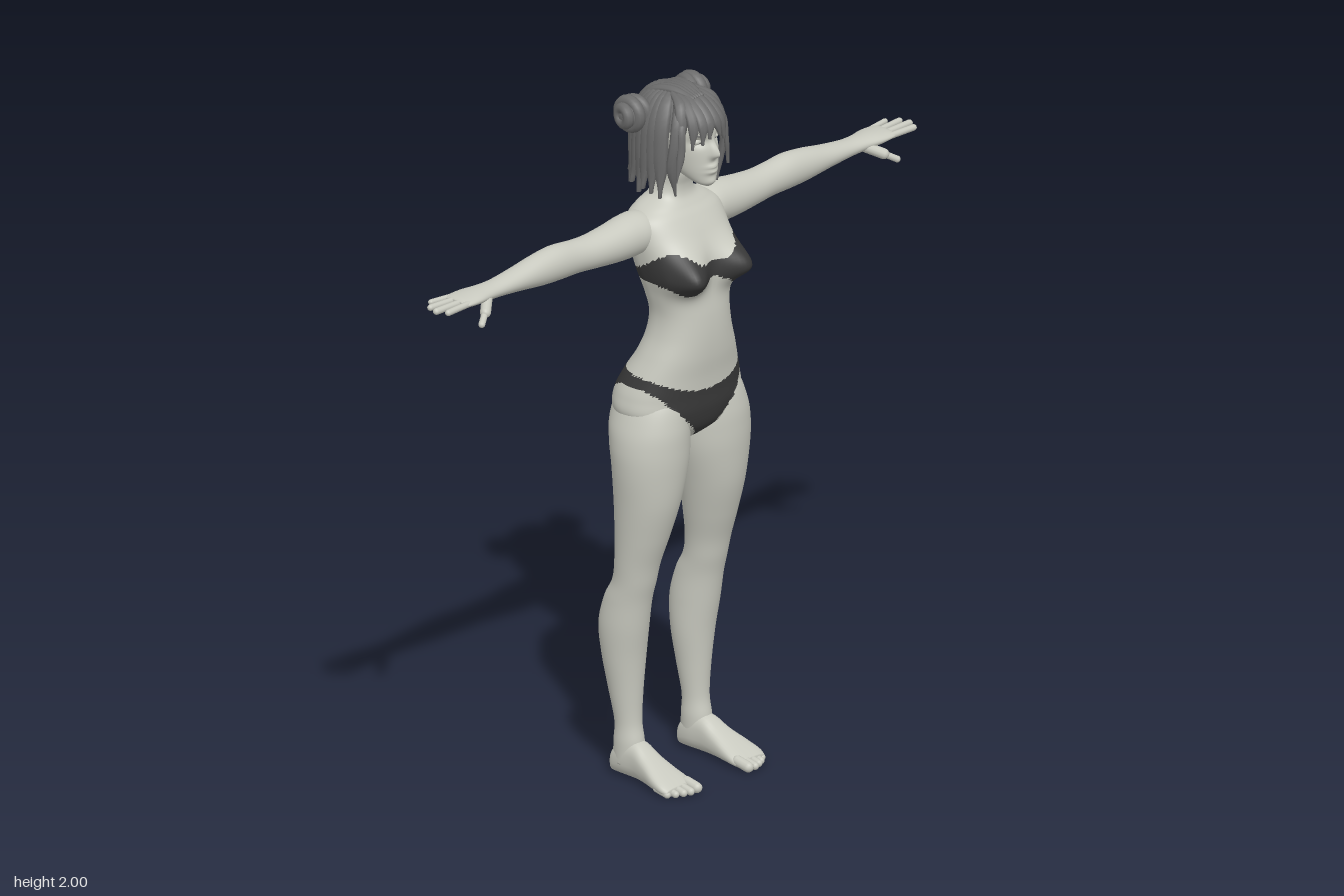
import * as THREE from 'three';

const skin = new THREE.MeshStandardMaterial({ color: 0xc8c9bf });
skin.name = 'skin';
const fabric = new THREE.MeshStandardMaterial({ color: 0x383838 });
fabric.name = 'dark fabric';
const hair = new THREE.MeshStandardMaterial({ color: 0x6c6c6c });
hair.name = 'hair grey';

const V = (x, y, z) => new THREE.Vector3(x, y, z);
const gauss = (d, s) => Math.exp(-(d * d) / (s * s));
const smooth = THREE.MathUtils.smoothstep;
const lerp = THREE.MathUtils.lerp;
const pow = (c, e) => Math.sign(c) * Math.abs(c) ** e;

// Smooth interpolation through rows of numbers, u in 0..1
function sample(rows, u) {
  const f = u * (rows.length - 1), i = Math.min(Math.floor(f), rows.length - 2), t = f - i;
  const a = rows[Math.max(i - 1, 0)], b = rows[i], c = rows[i + 1], d = rows[Math.min(i + 2, rows.length - 1)];
  return b.map((_, k) => 0.5 * (2 * b[k] + (c[k] - a[k]) * t + (2 * a[k] - 5 * b[k] + 4 * c[k] - d[k]) * t * t
    + (3 * b[k] - a[k] - 3 * c[k] + d[k]) * t * t * t));
}

// Closed skin over rings; ring(u, cos, sin) gives a point, paint(point) marks fabric faces
function loft(steps, n, ring, paint) {
  const pts = [], tris = [];
  for (let i = 0; i <= steps; i++) for (let j = 0; j < n; j++) {
    const a = (j / n) * Math.PI * 2;
    pts.push(ring(i / steps, Math.cos(a), Math.sin(a)));
  }
  for (let i = 0; i < steps; i++) for (let j = 0; j < n; j++) {
    const a = i * n + j, b = i * n + (j + 1) % n;
    tris.push([a, b, a + n], [b, b + n, a + n]);
  }
  for (const row of [0, steps]) {
    const mid = V(0, 0, 0);
    for (let j = 0; j < n; j++) mid.addScaledVector(pts[row * n + j], 1 / n);
    const m = pts.push(mid) - 1;
    for (let j = 0; j < n; j++) {
      const a = row * n + j, b = row * n + (j + 1) % n;
      tris.push(row ? [a, b, m] : [b, a, m]);
    }
  }
  // Turn the faces outward whatever the direction of the rings
  let volume = 0;
  for (const [a, b, c] of tris) volume += pts[a].dot(V(0, 0, 0).crossVectors(pts[b], pts[c]));
  const lists = [[], []];
  for (const [a, b, c] of tris) {
    const centre = V(0, 0, 0).add(pts[a]).add(pts[b]).add(pts[c]).divideScalar(3);
    lists[paint && paint(centre) ? 1 : 0].push(...(volume < 0 ? [a, c, b] : [a, b, c]));
  }
  const g = new THREE.BufferGeometry().setFromPoints(pts);
  g.setIndex(lists.flat());
  if (paint) {
    g.addGroup(0, lists[0].length, 0);
    g.addGroup(lists[0].length, lists[1].length, 1);
  }
  g.computeVertexNormals();
  return g;
}

// Swimwear outline on the body
function isFabric({ x, y, z }) {
  const ax = Math.abs(x), front = smooth(z, -0.06, 0.09);
  const topUp = lerp(1.493, 1.515 + 0.045 * smooth(ax, 0.03, 0.13), front);
  const topLow = lerp(1.462, 1.474 - 0.042 * gauss(ax - 0.085, 0.05), front);
  if (y > topLow && y < topUp) return true;
  const side = Math.min(ax / 0.18, 1), f = smooth(z, -0.06, 0.04);
  const briefUp = lerp(1.195, 1.143 + 0.052 * side * side, f);
  const briefLow = lerp(0.985 + 0.18 * side ** 1.3, 0.985 + 0.178 * side, f);
  return y > briefLow && y < briefUp;
}

// Bust, buttocks and spine as soft swells on the body
function swell(p, toFront) {
  const ax = Math.abs(p.x), y = p.y;
  if (toFront > 0) {
    const b = gauss(ax - 0.08, 0.055) * gauss(y - 1.485, y < 1.485 ? 0.045 : 0.06) * Math.min(1, toFront * 2.5);
    p.z += 0.073 * b;
    p.x += Math.sign(p.x) * 0.02 * b;
  } else {
    const w = Math.min(1, -toFront * 2);
    p.z -= 0.024 * w * gauss(ax - 0.09, 0.06) * gauss(y - 1.07, 0.055);
    p.z += 0.01 * w * gauss(p.x, 0.025) * (smooth(y, 1.15, 1.3) - smooth(y, 1.5, 1.62));
    p.z += 0.02 * w * gauss(p.x, 0.015) * gauss(y - 1.06, 0.06);
  }
  return p;
}

// Body rows: height, centre x, half width, front z, back z
const torsoRows = [
  [0.975, 0, 0.012, 0.02, -0.04], [1, 0, 0.07, 0.055, -0.1], [1.03, 0, 0.15, 0.084, -0.13], [1.08, 0, 0.2, 0.098, -0.146],
  [1.13, 0, 0.197, 0.1, -0.148], [1.18, 0, 0.178, 0.104, -0.13], [1.24, 0, 0.15, 0.112, -0.096], [1.3, 0, 0.126, 0.115, -0.076],
  [1.36, 0, 0.117, 0.113, -0.07], [1.42, 0, 0.127, 0.106, -0.082], [1.48, 0, 0.142, 0.1, -0.102], [1.54, 0, 0.151, 0.092, -0.12],
  [1.59, 0, 0.155, 0.07, -0.128], [1.63, 0, 0.148, 0.045, -0.126], [1.655, 0, 0.115, 0.025, -0.116],
  [1.68, 0, 0.07, 0.01, -0.1], [1.71, 0, 0.053, 0.008, -0.088], [1.75, 0, 0.05, 0.018, -0.084], [1.81, 0, 0.05, 0.02, -0.084]];
const legRows = [
  [0.04, 0.132, 0.037, -0.03, -0.126], [0.1, 0.131, 0.039, -0.032, -0.123], [0.16, 0.131, 0.037, -0.042, -0.12],
  [0.25, 0.132, 0.047, -0.04, -0.138], [0.35, 0.134, 0.06, -0.032, -0.156], [0.44, 0.138, 0.065, -0.018, -0.163],
  [0.52, 0.139, 0.062, -0.005, -0.143], [0.58, 0.138, 0.06, 0.01, -0.112], [0.64, 0.137, 0.064, 0.024, -0.103],
  [0.72, 0.132, 0.075, 0.05, -0.103], [0.82, 0.126, 0.09, 0.078, -0.107], [0.92, 0.12, 0.106, 0.092, -0.113],
  [0.99, 0.117, 0.11, 0.096, -0.124], [1.05, 0.112, 0.104, 0.094, -0.13], [1.12, 0.1, 0.085, 0.08, -0.11], [1.16, 0.09, 0.05, 0.05, -0.07]];
const headRows = [
  [1.732, 0, 0.012, 0.098, 0.07], [1.745, 0, 0.033, 0.106, 0.04], [1.775, 0, 0.053, 0.11, -0.03], [1.82, 0, 0.067, 0.11, -0.09],
  [1.86, 0, 0.074, 0.107, -0.12], [1.9, 0, 0.077, 0.11, -0.132], [1.94, 0, 0.07, 0.095, -0.125], [1.972, 0, 0.045, 0.055, -0.09], [1.982, 0, 0.015, 0, -0.05]];
const bodyRing = (rows, side, e, change) => (u, c, s) => {
  const [y, cx, rx, f, b] = sample(rows, u);
  return change(V(side * (cx + rx * pow(c, e)), y, (f + b) / 2 + (f - b) / 2 * pow(s, e)), s);
};

// Nose, lips, eye sockets and eyelids
function faceShape(p, s) {
  if (s <= 0) return p;
  const ax = Math.abs(p.x), y = p.y;
  p.z += 0.028 * gauss(p.x, 0.012) * gauss(y - 1.83, y < 1.83 ? 0.014 : 0.03);
  p.z += 0.009 * gauss(p.x, 0.02) * (gauss(y - 1.792, 0.006) + gauss(y - 1.777, 0.007));
  p.z += 0.006 * gauss(p.x, 0.02) * gauss(y - 1.745, 0.012);
  p.z -= 0.013 * gauss(ax - 0.034, 0.018) * gauss(y - 1.865, 0.014);
  return p;
}

// Arm rows: x, centre y, centre z, half height, half depth
const armRows = [
  [0.08, 1.6, -0.05, 0.04, 0.05], [0.13, 1.597, -0.048, 0.057, 0.062], [0.18, 1.595, -0.047, 0.06, 0.06], [0.24, 1.592, -0.046, 0.055, 0.055],
  [0.32, 1.591, -0.048, 0.048, 0.048], [0.38, 1.594, -0.05, 0.047, 0.044], [0.45, 1.598, -0.05, 0.05, 0.044], [0.52, 1.597, -0.05, 0.045, 0.042],
  [0.6, 1.595, -0.05, 0.033, 0.038], [0.68, 1.594, -0.049, 0.024, 0.034], [0.73, 1.595, -0.049, 0.021, 0.037],
  [0.78, 1.597, -0.05, 0.018, 0.046], [0.825, 1.598, -0.05, 0.013, 0.046], [0.838, 1.598, -0.05, 0.007, 0.038]];
// Foot rows: z, centre x, half width, top
const footRows = [
  [-0.131, 0.131, 0.014, 0.045], [-0.12, 0.131, 0.031, 0.07], [-0.085, 0.131, 0.038, 0.1], [-0.035, 0.132, 0.038, 0.105],
  [0.01, 0.135, 0.043, 0.08], [0.06, 0.139, 0.053, 0.055], [0.1, 0.14, 0.057, 0.036], [0.122, 0.14, 0.05, 0.022]];

export function createModel() {
  const model = new THREE.Group();
  const add = (name, geometry, material) => {
    const m = new THREE.Mesh(geometry, material);
    m.name = name;
    model.add(m);
    return m;
  };
  const capsule = (name, a, b, r, material = skin) => {
    const m = add(name, new THREE.CapsuleGeometry(r, a.distanceTo(b), 6, 12), material);
    m.position.copy(a).lerp(b, 0.5);
    m.quaternion.setFromUnitVectors(V(0, 1, 0), b.clone().sub(a).normalize());
    return m;
  };
  const ball = (name, p, r, material = skin) => {
    const m = add(name, new THREE.SphereGeometry(1, 24, 16), material);
    m.position.copy(p);
    m.scale.copy(r);
    return m;
  };
  // Flattened tapering lock of hair lying on the head
  const lock = (name, points, width, thick) => {
    const curve = new THREE.CatmullRomCurve3(points), core = V(0, 1.86, -0.03);
    add(name, loft(16, 8, (u, c, s) => {
      const p = curve.getPoint(u), t = curve.getTangent(u);
      const w = V(0, 0, 0).crossVectors(t, p.clone().sub(core)).normalize();
      const out = V(0, 0, 0).crossVectors(w, t);
      const k = Math.min(1, 0.35 + u * 2) * (1 - 0.8 * smooth(u, 0.7, 1));
      return p.addScaledVector(w, width * k * c).addScaledVector(out, thick * (0.5 + 0.5 * k) * s);
    }), hair);
  };

  add('torso', loft(150, 96, bodyRing(torsoRows, 1, 0.88, swell), isFabric), [skin, fabric]);
  add('head', loft(80, 80, bodyRing(headRows, 1, 0.95, faceShape)), skin);

  for (const side of [1, -1]) {
    const S = (x, y, z) => V(side * x, y, z);
    add('leg', loft(150, 48, bodyRing(legRows, side, 1, swell), isFabric), [skin, fabric]);
    add('foot', loft(32, 28, (u, c, s) => {
      const [z, cx, rx, top] = sample(footRows, u);
      return V(side * (cx + rx * pow(c, 0.8)), 0.003 + top / 2 * (1 + pow(s, 0.8)), z);
    }), skin);
    [[0.1, 0.146, 0.015], [0.125, 0.147, 0.011], [0.146, 0.14, 0.011], [0.166, 0.13, 0.01], [0.184, 0.116, 0.01]]
      .forEach(([x, z, r]) => capsule('toe', S(x, r + 0.008, z - 0.04), S(x, r + 0.001, z), r));

    add('arm', loft(90, 36, (u, c, s) => {
      const [x, cy, cz, ry, rz] = sample(armRows, u);
      return V(side * x, cy + ry * s, cz + rz * c);
    }), skin);
    [[-0.086, -0.096, 0.883, 0.008], [-0.063, -0.07, 0.912, 0.009], [-0.039, -0.04, 0.92, 0.0095], [-0.016, -0.01, 0.905, 0.009]]
      .forEach(([z0, z1, x, r]) => capsule('finger', S(0.81, 1.598, z0), S(x, 1.599, z1), r));
    capsule('thumb base', S(0.735, 1.588, -0.028), S(0.775, 1.565, 0.004), 0.015);
    capsule('thumb', S(0.77, 1.568, 0), S(0.808, 1.545, 0.022), 0.0095);

    // Ears, closed eyelids, lashes and brows
    ball('ear', S(0.076, 1.845, -0.015), V(0.01, 0.028, 0.017));
    ball('eyelid', S(0.033, 1.864, 0.081), V(0.014, 0.009, 0.01));
    const line = (name, y, z) => add(name, new THREE.TubeGeometry(new THREE.CatmullRomCurve3(
      [S(0.018, y - 0.002, z), S(0.033, y + 0.001, z - 0.001), S(0.05, y, z - 0.013)]), 10, 0.0022, 6), hair);
    line('lash', 1.861, 0.09);
    line('brow', 1.884, 0.1);

    // Coiled side bun
    ball('bun core', S(0.122, 1.925, -0.085), V(0.032, 0.042, 0.044), hair);
    [[0.1, 0.036, 0.016], [0.122, 0.036, 0.018], [0.144, 0.022, 0.016]].forEach(([x, r, tube], i) => {
      const coil = add('bun coil', new THREE.TorusGeometry(r, tube, 10, 28), hair);
      coil.position.copy(S(x, 1.925, -0.085));
      coil.rotation.set(0, side * (Math.PI / 2 + 0.2 * (i - 1)), 0);
    });

    // Fringe and loose locks framing the face
    for (let i = 0; i < 4; i++) {
      const x = 0.012 + i * 0.021;
      lock('fringe lock', [S(0.008 + x * 0.3, 1.985, -0.02), S(x * 0.8, 1.967, 0.062 - i * 0.006),
        S(x, 1.925, 0.108 - i * i * 0.005), S(x + 0.008, 1.878 - i * 0.014, 0.117 - i * i * 0.006)], 0.017, 0.009);
    }
    lock('face lock', [S(0.03, 1.98, 0), S(0.075, 1.94, 0.05), S(0.093, 1.87, 0.06), S(0.096, 1.79, 0.05), S(0.078, 1.71, 0.045)], 0.017, 0.01);
    lock('face wisp', [S(0.04, 1.97, 0.03), S(0.08, 1.91, 0.07), S(0.088, 1.84, 0.075), S(0.1, 1.76, 0.07)], 0.011, 0.007);
  }

  // Hair cap tilted back off the forehead
  const cap = add('hair cap', new THREE.SphereGeometry(1, 40, 24, 0, Math.PI * 2, 0, Math.PI * 0.52), hair);
  cap.material.side = THREE.DoubleSide;
  cap.scale.set(0.091, 0.118, 0.128);
  cap.position.set(0, 1.876, -0.022);
  cap.rotation.x = -0.42;

  // Bob of long locks around the sides and back
  const count = 19;
  for (let i = 0; i < count; i++) {
    const a = THREE.MathUtils.degToRad(lerp(72, 288, i / (count - 1)));
    const wobble = 0.012 * Math.sin(i * 2.4);
    const at = (r, y) => V(Math.sin(a) * 0.104 * r, y, -0.03 + Math.cos(a) * 0.126 * r);
    lock('bob lock', [at(0.15, 1.984), at(0.6, 1.968), at(0.92, 1.91), at(1, 1.84), at(1.01 + wobble, 1.77), at(1.06 + wobble * 3, 1.708 + wobble)], 0.023, 0.012);
  }
  // Swept locks over the crown
  for (let i = -2; i <= 2; i++) {
    lock('crown lock', [V(i * 0.008, 1.975, 0.055), V(i * 0.014, 1.988, -0.01), V(i * 0.02, 1.976, -0.075), V(i * 0.022, 1.92, -0.138)], 0.014, 0.01);
  }
  return model;
}
